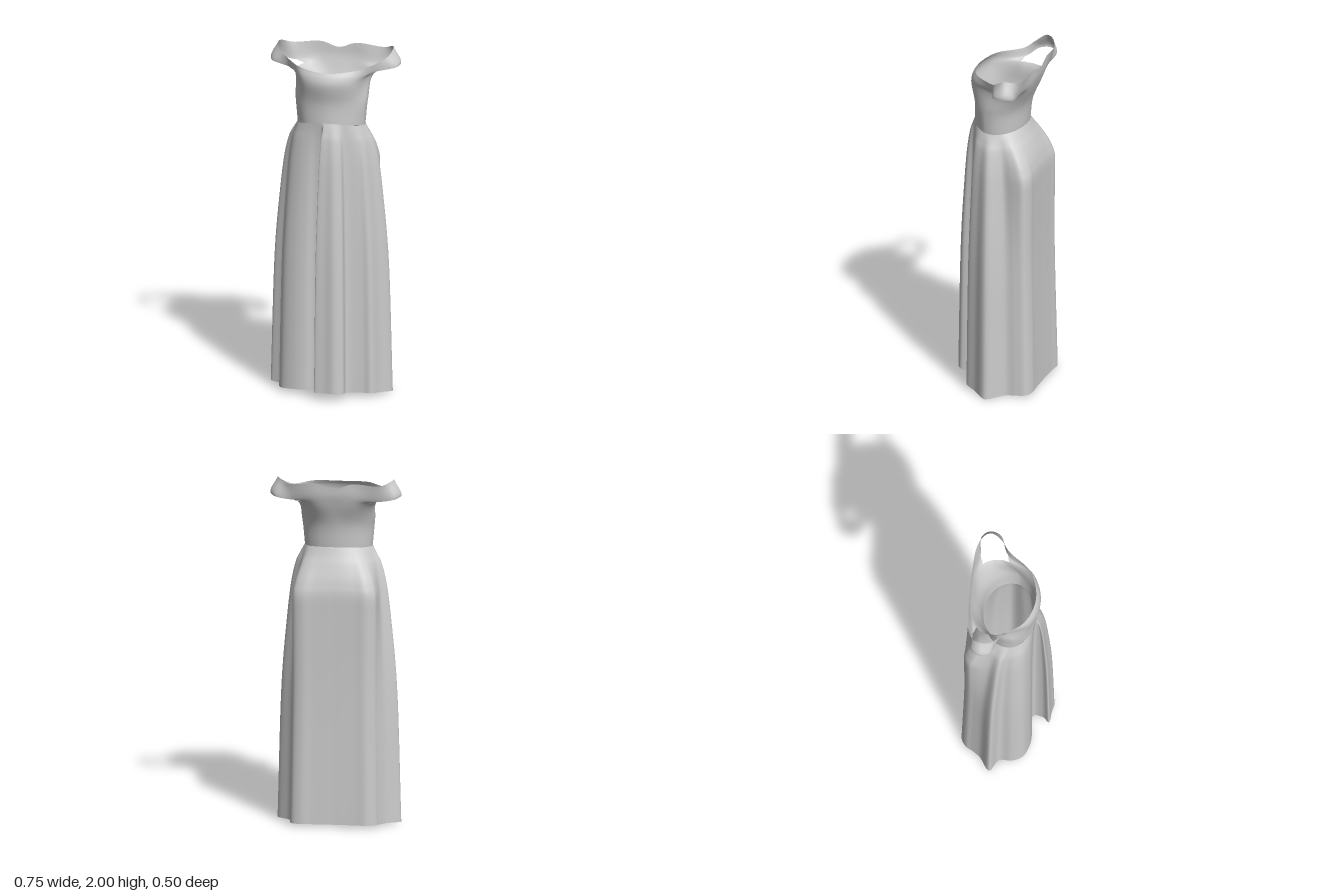
import * as THREE from 'three';

const material = new THREE.MeshStandardMaterial({ color: 0xcccccc, side: THREE.DoubleSide });
const V = (p) => new THREE.Vector3(...p);
const spline = (pts, closed = false) => new THREE.CatmullRomCurve3(pts.map(V), closed, 'centripetal');

// Closed ring of points on the waist; angle 0 is the centre back, 90 the left side
function waistPoint(deg) {
  const a = THREE.MathUtils.degToRad(deg), c = Math.cos(a);
  return [0.192 * Math.sin(a), 1.585 + (c < 0 ? 0.035 : 0.015) * c * c, 0.005 - 0.15 * c];
}

// Index for a tube-like grid (cols wrap round, rows run downward), keeping chosen cells
function gridIndex(cols, rows, keep = () => true) {
  const index = [];
  for (let r = 0; r < rows; r++) for (let c = 0; c < cols; c++) {
    if (!keep(c, r)) continue;
    const a = r * cols + c, b = r * cols + (c + 1) % cols;
    index.push(a, b, b + cols, a, b + cols, a + cols);
  }
  return index;
}

function gridGeometry(positions, index) {
  const g = new THREE.BufferGeometry();
  g.setAttribute('position', new THREE.Float32BufferAttribute(positions, 3));
  g.setIndex(index);
  g.computeVertexNormals();
  return g;
}

function addMesh(group, geometry, name) {
  const mesh = new THREE.Mesh(geometry, material);
  mesh.name = name;
  group.add(mesh);
}

function addBodice(group) {
  // Half sections from centre back, round the left arm, to centre front
  const neckline = [[0, 1.955, -0.222], [0.1, 1.985, -0.22], [0.26, 1.975, -0.205], [0.315, 1.995, -0.17],
    [0.33, 2, -0.13], [0.31, 1.965, -0.075], [0.255, 1.935, -0.025], [0.15, 1.925, 0.105], [0, 1.915, 0.152]];
  const sleeveHem = [[0, 1.91, -0.217], [0.11, 1.91, -0.213], [0.235, 1.88, -0.185], [0.335, 1.895, -0.188],
    [0.37, 1.905, -0.14], [0.355, 1.9, -0.08], [0.25, 1.885, -0.03], [0.15, 1.89, 0.122], [0, 1.89, 0.168]];
  const underarm = [[0, 1.85, -0.2], [0.1, 1.85, -0.195], [0.19, 1.865, -0.165], [0.215, 1.86, -0.135],
    [0.225, 1.86, -0.1], [0.228, 1.86, -0.06], [0.215, 1.865, -0.02], [0.145, 1.85, 0.128], [0, 1.85, 0.178]];
  const waist = [0, 28, 52, 68, 82, 95, 108, 140, 180].map(waistPoint);
  const ribs = [0, 28, 52, 68, 82, 95, 108, 140, 180].map((d) => {
    const a = THREE.MathUtils.degToRad(d);
    return [0.206 * Math.sin(a), 1.73, -0.003 - 0.158 * Math.cos(a)];
  });
  const per = 8, cols = 16 * per, rows = 4 * per;
  const rings = [neckline, sleeveHem, underarm, ribs, waist].map((half) => {
    const mirrored = half.slice(1, 8).reverse().map(([x, y, z]) => [-x, y, z]);
    return spline([...half, ...mirrored], true);
  });

  const columns = [];
  for (let c = 0; c < cols; c++) {
    columns.push(spline(rings.map((ring) => ring.getPoint(c / cols).toArray())));
  }
  const positions = [];
  for (let r = 0; r <= rows; r++) {
    for (const column of columns) positions.push(...column.getPoint(r / rows).toArray());
  }

  // Cells beside each arm: the first band is the sleeve, the second the open armhole
  const isLeftArm = (c) => c >= 2 * per && c < 6 * per;
  const isRightArm = (c) => c >= 10 * per && c < 14 * per;
  const isArm = (c) => isLeftArm(c) || isRightArm(c);
  const whole = gridGeometry(positions, gridIndex(cols, rows, (c, r) => !(isArm(c) && r >= per && r < 2 * per)));
  const piece = (keep) => whole.clone().setIndex(gridIndex(cols, rows, keep));
  addMesh(group, piece((c, r) => !(isArm(c) && r < 2 * per)), 'bodice');
  addMesh(group, piece((c, r) => isLeftArm(c) && r < per), 'leftSleeve');
  addMesh(group, piece((c, r) => isRightArm(c) && r < per), 'rightSleeve');
}

function addSkirt(group) {
  // Folded hem outline: x, z and the waist angle each point hangs from
  const hem = spline([
    [0, -0.245, 0], [0.12, -0.248, 25], [0.19, -0.252, 40], [0.24, -0.23, 52], [0.255, -0.18, 62],
    [0.265, -0.12, 72], [0.345, -0.025, 92], [0.29, 0.06, 105], [0.25, 0.125, 120], [0.2, 0.125, 135],
    [0.11, 0.15, 152], [0.105, 0.22, 162], [0.06, 0.25, 170], [0, 0.24, 177], [-0.06, 0.23, 184],
    [-0.03, 0.195, 187], [-0.02, 0.14, 190], [-0.08, 0.125, 197], [-0.13, 0.14, 210], [-0.2, 0.135, 225],
    [-0.27, 0.1, 240], [-0.295, 0.04, 253], [-0.295, -0.03, 262], [-0.365, -0.08, 274], [-0.29, -0.14, 288],
    [-0.255, -0.19, 304], [-0.235, -0.225, 312], [-0.19, -0.252, 322], [-0.12, -0.248, 335], [0, -0.245, 360],
  ].map(([x, z, a]) => [x, z, a / 1000])); // small angles keep the spline spacing even
  // Drop below the waist, flare at front and sides, flare over the seat
  const flare = spline([[0, 0, 0], [0.03, 0.17, 0.2], [0.06, 0.32, 0.42], [0.125, 0.48, 0.78],
    [0.17, 0.55, 0.9], [0.25, 0.64, 0.9], [0.5, 0.85, 0.89], [1, 1, 1]]);

  const cols = 232, rows = 70, positions = [];
  for (let r = 0; r <= rows; r++) {
    const f = flare.getPoint(r / rows);
    for (let c = 0; c < cols; c++) {
      const h = hem.getPoint(c / cols);
      const [wx, wy, wz] = waistPoint(h.z * 1000);
      const seat = THREE.MathUtils.smoothstep(-h.y, 0.12, 0.22);
      const k = THREE.MathUtils.lerp(f.y, f.z, seat);
      const hemY = h.y > -0.02 ? Math.min(0.05, 0.18 * (h.y + 0.02)) : 0.065 * (-0.02 - h.y);
      positions.push(wx + (h.x - wx) * k, wy + (hemY - wy) * f.x, wz + (h.y - wz) * k);
    }
  }
  addMesh(group, gridGeometry(positions, gridIndex(cols, rows)), 'skirt');
}

export function createModel() {
  const group = new THREE.Group();
  group.name = 'gown';
  addBodice(group);
  addSkirt(group);
  return group;
}
